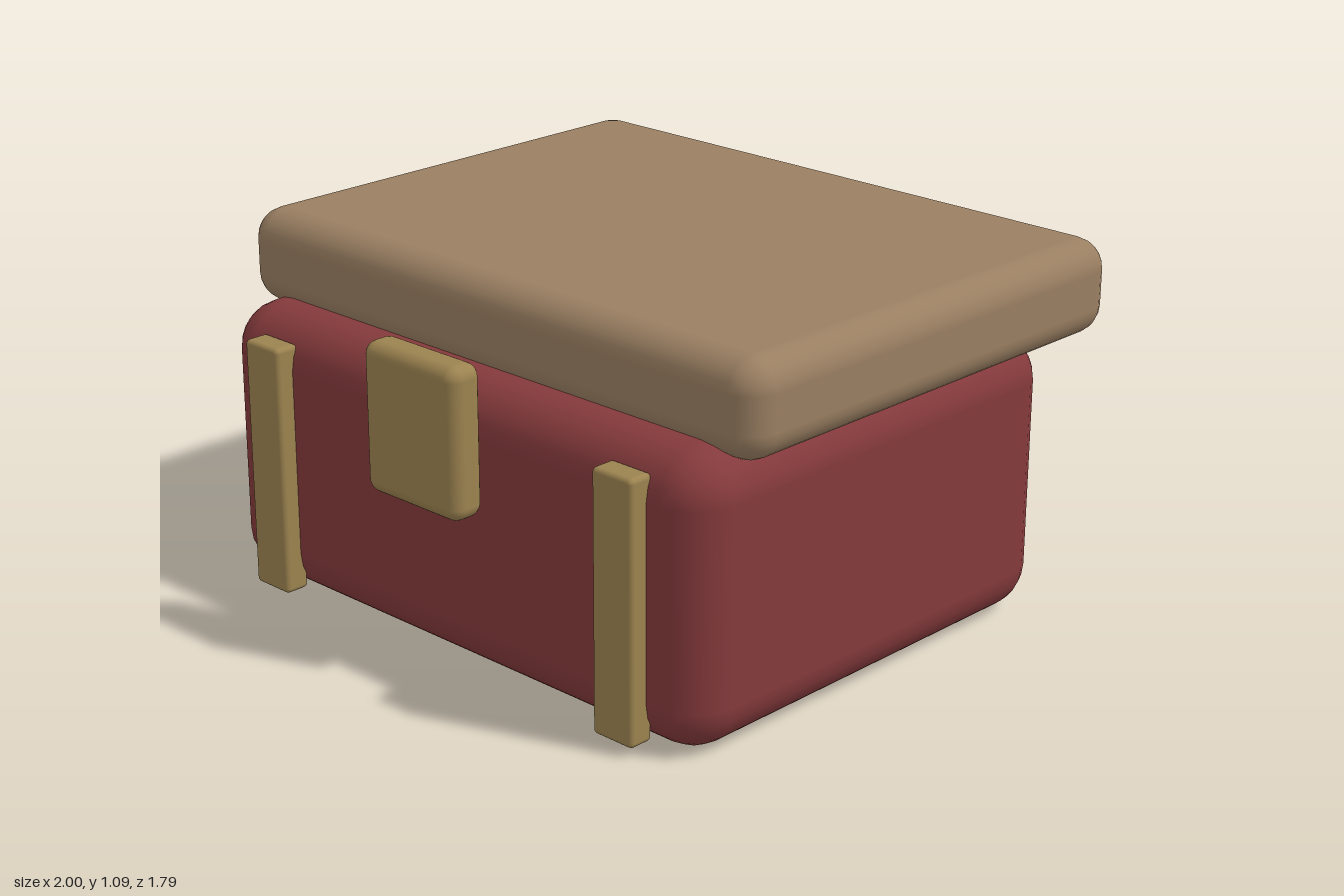
import * as THREE from 'three';
import { RoundedBoxGeometry } from 'three/addons/geometries/RoundedBoxGeometry.js';

const red = new THREE.MeshStandardMaterial({ color: 0x853a3c });
const tan = new THREE.MeshStandardMaterial({ color: 0x9a7f62 });
const brass = new THREE.MeshStandardMaterial({ color: 0x9c8350 });

// Rounded box given by its extents on each axis
function block(name, material, [x0, x1], [y0, y1], [z0, z1], radius, segments = 3) {
  const geometry = new RoundedBoxGeometry(x1 - x0, y1 - y0, z1 - z0, segments, radius);
  const mesh = new THREE.Mesh(geometry, material);
  mesh.name = name;
  mesh.position.set((x0 + x1) / 2, (y0 + y1) / 2, (z0 + z1) / 2);
  return mesh;
}

export function createModel() {
  const chest = new THREE.Group();
  chest.name = 'chest';

  // Body, and the lid slid towards the back
  chest.add(block('body', red, [-0.95, 0.95], [0, 0.845], [-0.7, 0.775], 0.14));
  chest.add(block('lid', tan, [-1, 1], [0.8, 1.085], [-0.9, 0.63], 0.09));

  // Clasp standing just clear of the front
  chest.add(block('clasp', brass, [-0.185, 0.185], [0.5, 0.94], [0.783, 0.895], 0.04));

  // Pair of front straps
  for (const side of [-1, 1]) {
    const x = side * 0.7;
    chest.add(block(side > 0 ? 'leftStrap' : 'rightStrap', brass,
      [x - 0.072, x + 0.072], [0.025, 0.782], [0.75, 0.83], 0.015));
  }
  return chest;
}
